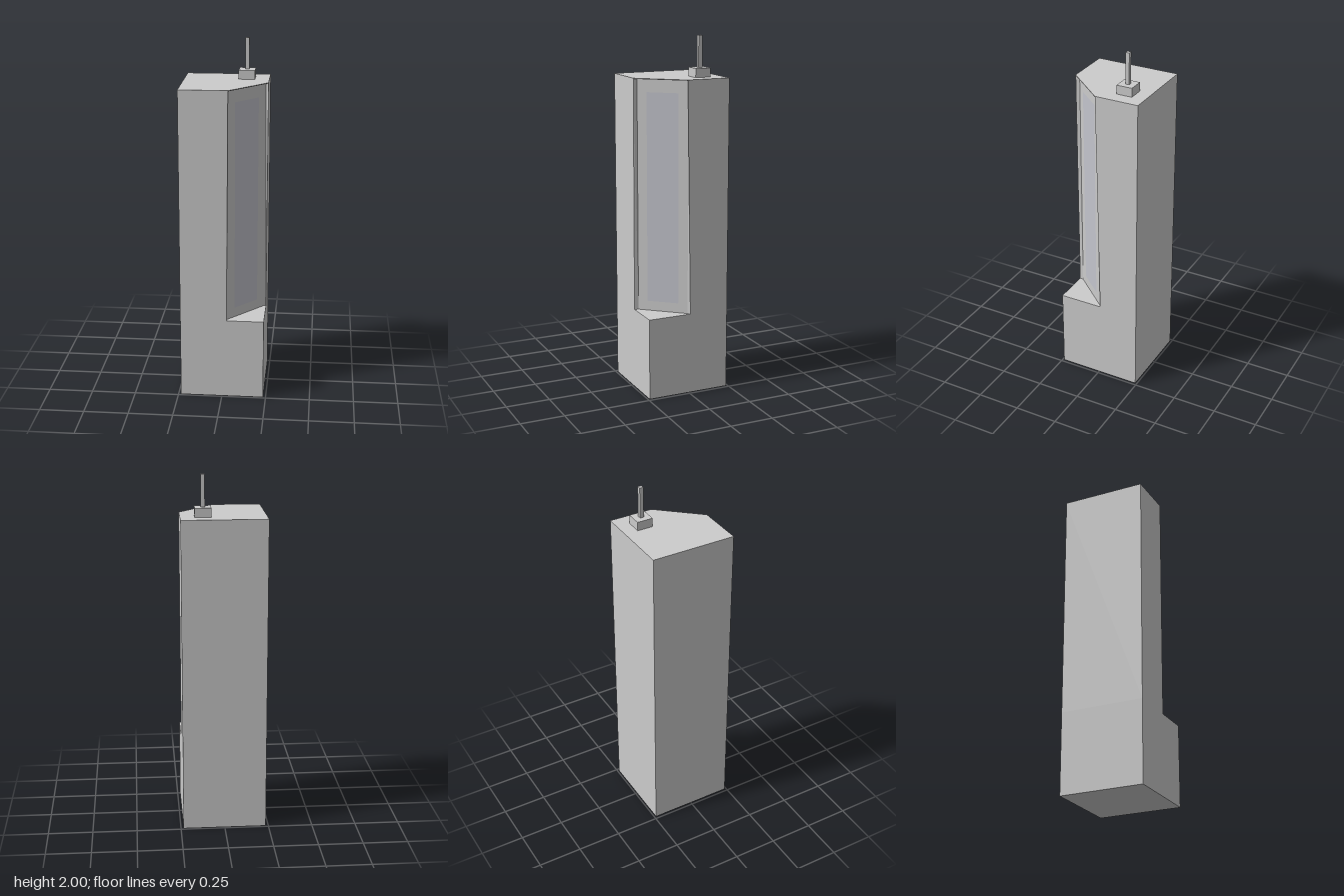
import * as THREE from 'three';

const grey = new THREE.MeshStandardMaterial({ color: 0xcccccc, flatShading: true });
const tinted = new THREE.MeshStandardMaterial({ color: 0xc3c4cc, flatShading: true });

const HX = 0.235, HZ = 0.24;       // half width and half depth of the tower
const LEDGE = 0.465, ROOF = 1.775; // bottom and top of the cut corner
const CAP = 0.004;                 // thickness of the roof cap

function add(group, name, geometry, position, material = grey) {
  const mesh = new THREE.Mesh(geometry, material);
  mesh.name = name;
  mesh.position.set(...position);
  group.add(mesh);
  return mesh;
}

const box = (w, h, d) => new THREE.BoxGeometry(w, h, d);

// Upright prism over a plan given as [x, z] corners
function prism(corners, height) {
  const shape = new THREE.Shape(corners.map(([x, z]) => new THREE.Vector2(x, -z)));
  return new THREE.ExtrudeGeometry(shape, { depth: height, bevelEnabled: false }).rotateX(-Math.PI / 2);
}

// Upper tower: the glazing sits back from the cut edges, which lean in towards the ledge
function upperTower() {
  const geometry = prism([
    [-HX, HZ], [0.033, HZ], [0.03, 0.217], [0.22, 0], [HX, 0.01], [HX, -HZ], [-HX, -HZ],
  ], ROOF - CAP - LEDGE);
  const p = geometry.attributes.position;
  for (let i = 0; i < p.count; i++) {
    if (p.getY(i) > 0.01) continue;
    if (Math.abs(p.getX(i) - 0.033) < 0.001) p.setX(i, 0.026);
    if (Math.abs(p.getZ(i) - 0.01) < 0.001) p.setZ(i, -0.01);
  }
  geometry.computeVertexNormals();
  return geometry;
}

export function createModel() {
  const model = new THREE.Group();
  model.name = 'tower';
  add(model, 'lowerTower', box(2 * HX, LEDGE, 2 * HZ), [0, LEDGE / 2, 0]);
  add(model, 'upperTower', upperTower(), [0, LEDGE, 0]);

  // Roof cap reaches out to the full diagonal
  const roofPlan = [[-HX, HZ], [0.033, HZ], [HX, 0.01], [HX, -HZ], [-HX, -HZ]];
  add(model, 'roofCap', prism(roofPlan, CAP), [0, ROOF - CAP, 0]);

  // Tinted panel on the diagonal glazing
  const panel = add(model, 'windowPanel', new THREE.PlaneGeometry(0.18, 1.18), [0.1258, 1.11, 0.1092], tinted);
  panel.rotation.y = Math.atan2(0.217, 0.19);

  // Roof antenna
  add(model, 'antennaBase', box(0.09, 0.05, 0.09), [0.111, ROOF + 0.025, -0.12]);
  add(model, 'antennaMast', box(0.022, 0.175, 0.022), [0.111, 1.9125, -0.12]);
  return model;
}
